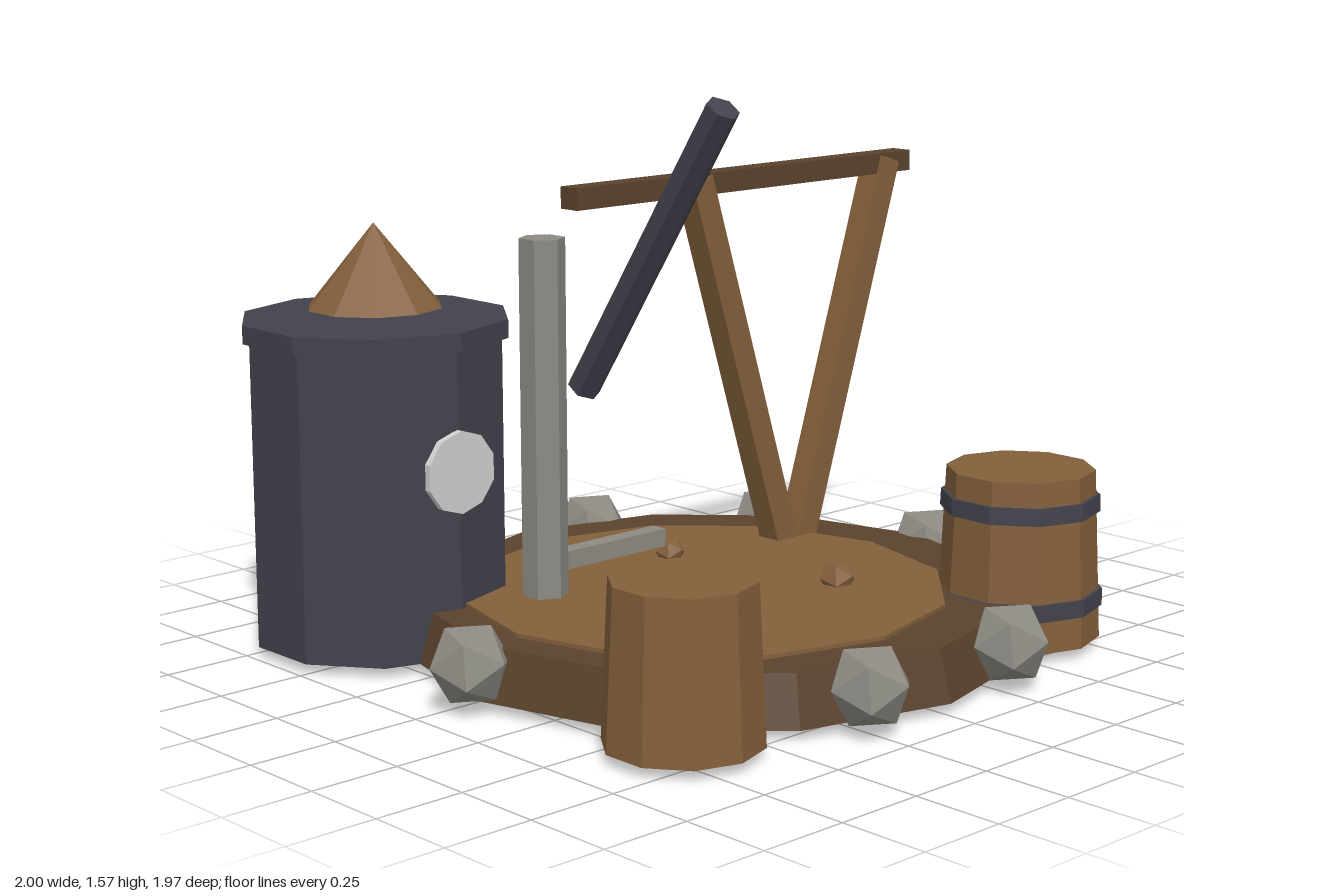
import * as THREE from 'three';

const mat = (name, color) => {
  const m = new THREE.MeshStandardMaterial({ color, flatShading: true });
  m.name = name;
  return m;
};

export function createModel() {
  const wood = mat('wood', 0x835f3b);
  const darkWood = mat('dark wood', 0x5a422c);
  const iron = mat('dark iron', 0x42424d);
  const stone = mat('stone', 0x8c8a82);
  const pale = mat('pale dial', 0xcfcfcf);

  const model = new THREE.Group();
  model.name = 'camp';

  const add = (name, geometry, material, x, y, z, parent = model) => {
    const mesh = new THREE.Mesh(geometry, material);
    mesh.name = name;
    mesh.position.set(x, y, z);
    parent.add(mesh);
    return mesh;
  };
  // Upright faceted cylinder given by its bottom and top heights
  const drum = (name, rTop, rBottom, y0, y1, sides, material, x, z, parent) =>
    add(name, new THREE.CylinderGeometry(rTop, rBottom, y1 - y0, sides), material, x, (y0 + y1) / 2, z, parent);
  const group = (name) => {
    const g = new THREE.Group();
    g.name = name;
    model.add(g);
    return g;
  };

  // Round base with a raised floor
  drum('base', 0.82, 0.86, 0.035, 0.172, 12, darkWood, 0.01, 0.05);
  drum('floor', 0.672, 0.672, 0.15, 0.183, 12, wood, -0.035, 0.05);

  // Ring of ten boulders
  const boulders = group('boulders');
  const boulderGeometry = new THREE.IcosahedronGeometry(0.113);
  for (let i = 0; i < 10; i++) {
    const a = (i / 10) * Math.PI * 2;
    const b = add('boulder', boulderGeometry, stone, 0.01 + 0.87 * Math.cos(a), 0.134, 0.05 + 0.87 * Math.sin(a), boulders);
    b.rotation.set(0.4, 0.3, 0.1);
  }

  // Loose wooden lumps on the floor
  for (const [x, z, r] of [[-0.27, 0.235, 0.062], [0.245, 0.285, 0.053], [0.105, -0.24, 0.044]]) {
    add('lump', new THREE.IcosahedronGeometry(r), wood, x, 0.195, z).rotation.set(0.3, 0.2, 0);
  }

  // Tank with lid, floating cone cap and front dial
  const tank = group('tank');
  drum('tankBody', 0.354, 0.354, 0.035, 0.88, 10, iron, -0.645, -0.607, tank);
  drum('tankLid', 0.372, 0.372, 0.875, 0.925, 10, iron, -0.645, -0.607, tank);
  add('coneCap', new THREE.ConeGeometry(0.187, 0.23, 10), wood, -0.645, 1.065, -0.607, tank);
  add('dial', new THREE.CylinderGeometry(0.113, 0.113, 0.02, 10), pale, -0.647, 0.55, -0.248, tank).rotation.x = Math.PI / 2;

  // Stone post with a short side arm
  drum('post', 0.063, 0.063, 0.17, 1.16, 6, stone, -0.41, -0.182);
  add('postArm', new THREE.BoxGeometry(0.42, 0.05, 0.05), stone, -0.2, 0.27, -0.182);

  // Leaning iron tube
  add('tube', new THREE.CylinderGeometry(0.045, 0.045, 0.935, 6), iron, -0.41, 1.165, 0.245).rotation.x = 0.596;

  // Top beam on a pair of struts spreading from the floor
  const frame = group('frame');
  add('beam', new THREE.BoxGeometry(1.315, 0.06, 0.066), darkWood, 0.3425, 1.255, -0.181, frame);
  for (const side of [-1, 1]) {
    const strut = add('strut', new THREE.BoxGeometry(0.078, 1.31, 0.077), wood, 0.527 + side * 0.186, 0.643, -0.181, frame);
    strut.rotation.z = -side * 0.307;
  }

  // Stump
  drum('stump', 0.187, 0.206, 0.035, 0.45, 10, wood, -0.69, 0.66);

  // Barrel with two hoops
  const barrel = group('barrel');
  drum('barrelBody', 0.204, 0.225, 0.035, 0.505, 10, wood, 0.625, 0.615, barrel);
  drum('upperHoop', 0.218, 0.22, 0.39, 0.437, 10, iron, 0.625, 0.615, barrel);
  drum('lowerHoop', 0.23, 0.23, 0.125, 0.172, 10, iron, 0.625, 0.615, barrel);

  return model;
}
